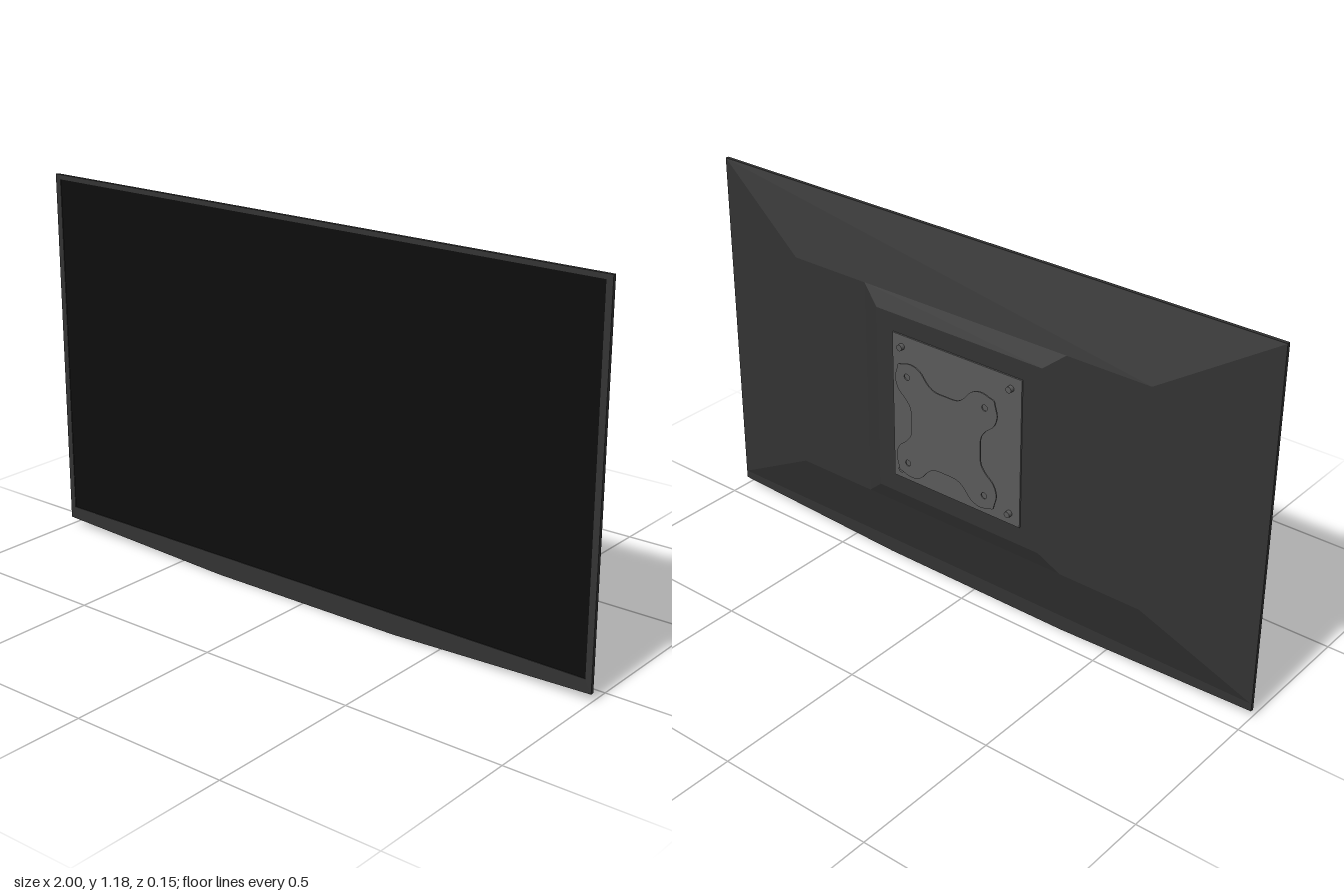
import * as THREE from 'three';

export function createModel() {
  const model = new THREE.Group();
  const mat = (name, color) => {
    const m = new THREE.MeshStandardMaterial({ color });
    m.name = name;
    return m;
  };
  const casing = mat('dark grey casing', 0x333333);
  const glass = mat('black screen', 0x0c0c0c);
  const metal = mat('grey metal', 0x5a5a5a);

  const add = (name, geometry, material, x = 0, y = 0, z = 0) => {
    const mesh = new THREE.Mesh(geometry, material);
    mesh.name = name;
    mesh.position.set(x, y, z);
    model.add(mesh);
    return mesh;
  };

  // Tapered block between two rectangles [halfWidth, bottom, top, z], closed at the rear
  const taper = (a, b) => {
    const ring = ([w, y0, y1, z]) => [[-w, y0, z], [w, y0, z], [w, y1, z], [-w, y1, z]];
    const f = ring(a), r = ring(b), pos = [];
    const quad = (p, q, s, t) => pos.push(...p, ...q, ...s, ...p, ...s, ...t);
    for (let i = 0; i < 4; i++) {
      const j = (i + 1) % 4;
      quad(f[i], r[i], r[j], f[j]);
    }
    quad(r[3], r[2], r[1], r[0]);
    const g = new THREE.BufferGeometry();
    g.setAttribute('position', new THREE.Float32BufferAttribute(pos, 3));
    g.computeVertexNormals();
    return g;
  };

  // Front bezel with a bowed lower edge
  const outline = new THREE.Shape([
    [-1, 0.025], [-0.34, 0], [0.34, 0], [1, 0.025], [1, 1.18], [-1, 1.18],
  ].map(p => new THREE.Vector2(...p)));
  outline.holes.push(new THREE.Path([
    [-0.98, 0.065], [-0.98, 1.165], [0.98, 1.165], [0.98, 0.065],
  ].map(p => new THREE.Vector2(...p))));
  add('bezel', new THREE.ExtrudeGeometry(outline, { depth: 0.011, bevelEnabled: false }), casing, 0, 0, 0.064);
  add('screen', new THREE.BoxGeometry(1.96, 1.1, 0.008), glass, 0, 0.615, 0.069);

  // Rear shell and the raised housing on it
  add('rearShell', taper([0.998, 0.05, 1.178, 0.064], [0.65, 0.25, 0.965, 0]), casing);
  add('rearHousing', taper([0.37, 0.25, 0.965, 0], [0.305, 0.307, 0.913, -0.022]), casing);

  // Mounting plate with four corner screws
  const cy = 0.612;
  add('mountPlate', new THREE.BoxGeometry(0.48, 0.485, 0.006), metal, 0, cy, -0.024);
  for (const sx of [-1, 1]) for (const sy of [-1, 1]) {
    const screw = add('mountScrew', new THREE.CylinderGeometry(0.01, 0.01, 0.016, 20), metal,
      sx * 0.203, cy + sy * 0.206, -0.033);
    screw.rotation.x = Math.PI / 2;
  }

  // Two spacer bars carrying the bracket
  for (const y of [0.503, 0.678]) {
    add('spacerBar', new THREE.BoxGeometry(0.18, 0.015, 0.046), metal, 0, y, -0.048);
  }

  // Four-lobed bracket: half a lobe, mirrored on the diagonal and turned four times
  const half = [[0.13, 0], [0.133, 0.045], [0.15, 0.07], [0.178, 0.095], [0.19, 0.13], [0.182, 0.165]];
  const lobe = [...half, [0.178, 0.178], ...half.slice(1).reverse().map(([x, y]) => [y, x])];
  const points = [];
  for (let k = 0; k < 4; k++) {
    for (const [x, y] of lobe) {
      points.push(new THREE.Vector3(x, y, 0).applyAxisAngle(new THREE.Vector3(0, 0, 1), k * Math.PI / 2));
    }
  }
  const curve = new THREE.CatmullRomCurve3(points, true);
  const bracket = new THREE.Shape(curve.getPoints(192).slice(0, -1).map(p => new THREE.Vector2(p.x, p.y)));
  for (const sx of [-1, 1]) for (const sy of [-1, 1]) {
    bracket.holes.push(new THREE.Path().absarc(sx * 0.145, sy * 0.145, 0.01, 0, Math.PI * 2, true));
  }
  add('bracket', new THREE.ExtrudeGeometry(bracket, { depth: 0.004, bevelEnabled: false, curveSegments: 16 }),
    metal, 0, 0.61, -0.074);

  return model;
}
